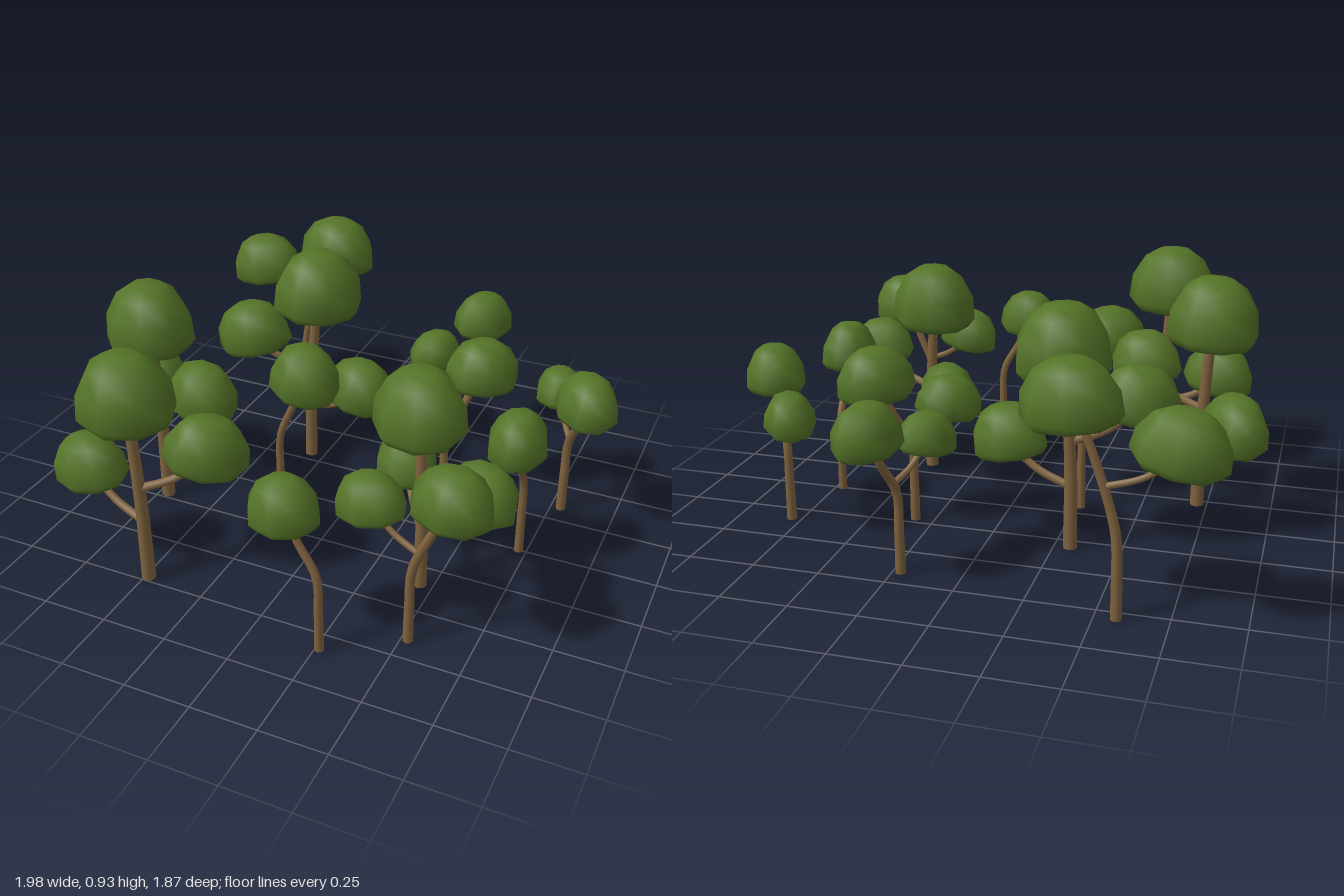
import * as THREE from 'three';

const leaf = new THREE.MeshStandardMaterial({ color: 0x547327 });
const bark = new THREE.MeshStandardMaterial({ color: 0x80643f });

// Each tree is its trunk foot [x, z], then its crowns [x, z, bottom, long radius].
// The first crown sits on the trunk, the others on side branches.
const BROAD_TREES = [
  [[-0.31, -0.305], [-0.28, -0.33, 0.66, 0.183], [-0.54, -0.24, 0.48, 0.155], [-0.06, -0.26, 0.31, 0.15]],
  [[-0.71, 0.22], [-0.74, 0.205, 0.66, 0.183], [-0.86, 0.005, 0.32, 0.153], [-0.47, 0.285, 0.47, 0.15]],
  [[0.45, 0.35], [0.42, 0.33, 0.62, 0.177], [0.31, 0.16, 0.31, 0.145], [0.69, 0.415, 0.42, 0.14]],
  [[-0.485, 0.725], [-0.51, 0.725, 0.66, 0.182], [-0.73, 0.68, 0.32, 0.15], [-0.26, 0.615, 0.46, 0.157]],
];
const FORKED_TREES = [
  [[-0.575, -0.795], [-0.41, -0.8, 0.65, 0.17], [-0.77, -0.8, 0.53, 0.163]],
  [[0.22, -0.665], [0.28, -0.785, 0.48, 0.135], [0.15, -0.545, 0.41, 0.118]],
  [[0.79, -0.34], [0.87, -0.245, 0.48, 0.14], [0.71, -0.47, 0.4, 0.12]],
  [[0.325, -0.215], [0.44, -0.295, 0.5, 0.15], [0.2, -0.145, 0.4, 0.13]],
  [[0.525, 0.655], [0.67, 0.67, 0.55, 0.147], [0.36, 0.625, 0.45, 0.133]],
];
const SINGLE_TREES = [
  [[-0.27, 0.065], [-0.13, 0.105, 0.53, 0.145]],
  [[0.72, 0], [0.715, 0.12, 0.48, 0.13]],
  [[0.265, 0.825], [0.14, 0.825, 0.48, 0.13]],
];

// Dome with a flattened underside, unit radius and height, centred on its middle
const dome = new THREE.LatheGeometry(
  [[0, 0.02], [0.5, 0], [0.84, 0.03], [1, 0.17], [0.95, 0.52], [0.68, 0.84], [0.36, 0.98], [0, 1]]
    .map(([r, y]) => new THREE.Vector2(r, y - 0.5)), 8);

// Tube that narrows evenly from r0 to r1
function limb(name, curve, r0, r1) {
  const rows = 14, sides = 8;
  const geo = new THREE.TubeGeometry(curve, rows, 1, sides, false);
  const pos = geo.attributes.position, v = new THREE.Vector3();
  for (let i = 0; i < pos.count; i++) {
    const t = Math.floor(i / (sides + 1)) / rows;
    const c = curve.getPointAt(t);
    v.fromBufferAttribute(pos, i).sub(c).multiplyScalar(r0 + (r1 - r0) * t).add(c);
    pos.setXYZ(i, v.x, v.y, v.z);
  }
  const mesh = new THREE.Mesh(geo, bark);
  mesh.name = name;
  return mesh;
}

// Crown stretched along, and tipped towards, its direction away from the trunk
function makeCrown([x, z, bottom, radius], [fx, fz], height, roundness, tilt) {
  const mesh = new THREE.Mesh(dome, leaf);
  mesh.name = 'crown';
  mesh.position.set(x, bottom + height / 2, z);
  mesh.scale.set(radius, height * (1 - tilt * 0.6), radius * roundness);
  mesh.rotation.order = 'YZX';
  mesh.rotation.set(0, Math.atan2(fz - z, x - fx), -tilt);
  return mesh;
}

function makeTree([foot, ...crowns], r, heightRatio, roundness, tilt) {
  const tree = new THREE.Group();
  tree.name = 'tree';
  const [fx, fz] = foot;
  const [cx, cz, cy] = crowns[0];
  const at = (k, y) => new THREE.Vector3(fx + (cx - fx) * k, y, fz + (cz - fz) * k);

  // Trunk: upright, then bending under the main crown
  const path = new THREE.CatmullRomCurve3([
    at(0, 0), at(0.01, 0.16), at(0.06, 0.31), at(0.62, cy - 0.04), at(0.9, cy + 0.07)]);
  const base = new THREE.Mesh(new THREE.CircleGeometry(r, 8).rotateX(Math.PI / 2), bark);
  base.name = 'trunkBase';
  base.position.set(fx, 0, fz);
  tree.add(limb('trunk', path, r, r * 0.72), base);
  tree.add(makeCrown(crowns[0], foot, crowns[0][3] * heightRatio, roundness, tilt));

  // Side branches, each leaving the trunk a little below its crown
  for (const crown of crowns.slice(1)) {
    const [x, z, bottom, radius] = crown;
    let t = 0;
    while (t < 1 && path.getPointAt(t).y < bottom - 0.07) t += 0.01;
    const start = path.getPointAt(t);
    const end = new THREE.Vector3(x, bottom + 0.06, z);
    const mid = start.clone().lerp(end, 0.5).setY(bottom - 0.025);
    tree.add(limb('branch', new THREE.CatmullRomCurve3([start, mid, end]), r * 0.62, r * 0.5));
    tree.add(makeCrown(crown, foot, radius * heightRatio, 0.8, 0.18));
  }
  return tree;
}

export function createModel() {
  const group = new THREE.Group();
  group.name = 'grove';
  for (const tree of BROAD_TREES) group.add(makeTree(tree, 0.027, 1.5, 0.92, 0.03));
  for (const tree of FORKED_TREES) group.add(makeTree(tree, 0.02, 1.4, 0.82, 0.08));
  for (const tree of SINGLE_TREES) group.add(makeTree(tree, 0.018, 1.54, 0.85, 0.08));
  return group;
}
